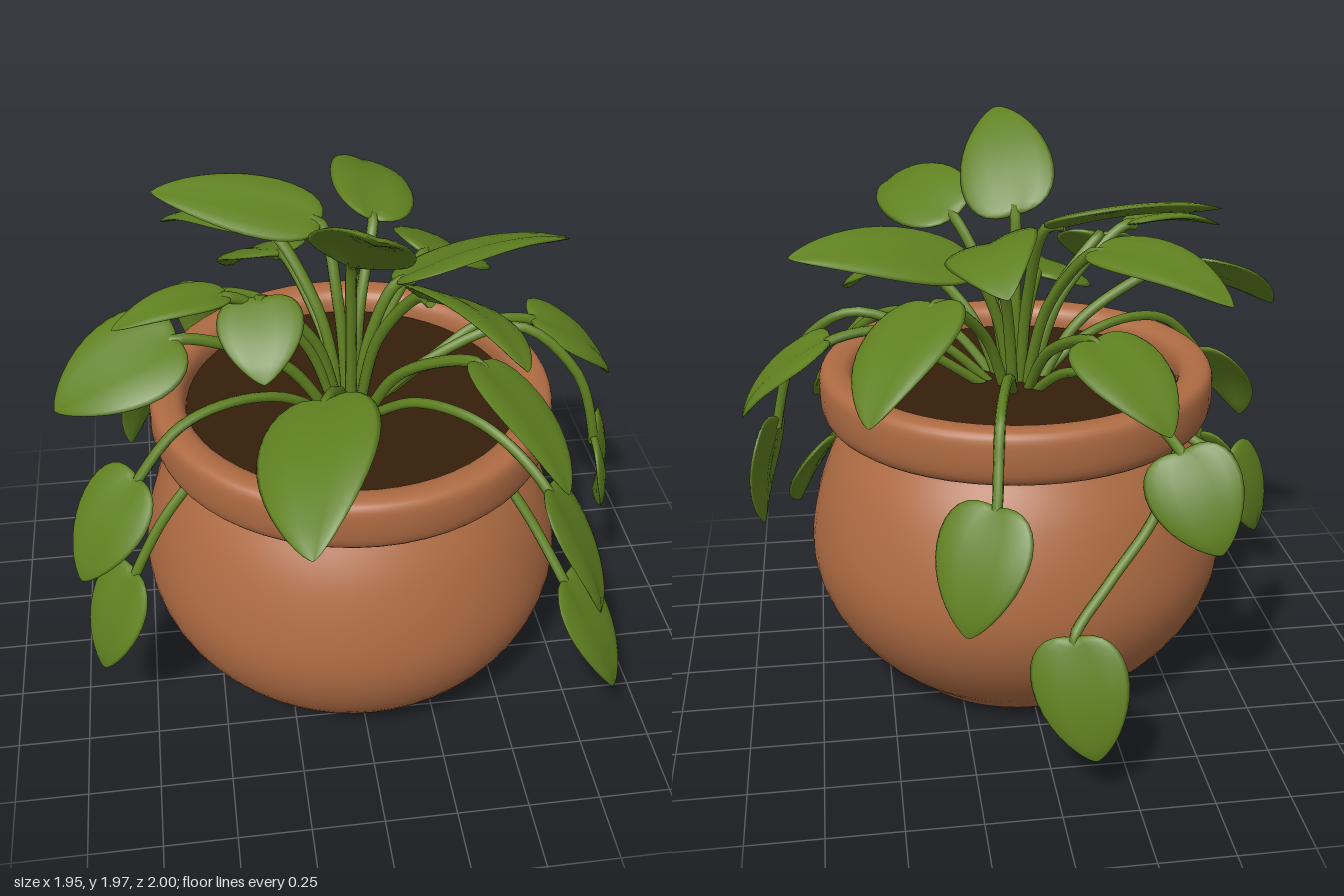
import * as THREE from 'three';

const V = (a) => new THREE.Vector3(...a);

// Closed heart-shaped leaf running from base to tip; up is the side its face looks to.
function leafGeometry(base, tip, width, up, arch) {
  const axis = V(tip).sub(V(base)), length = axis.length();
  axis.normalize();
  const side = V(up).cross(axis).normalize();
  const normal = axis.clone().cross(side).normalize();
  const rows = 18, ring = 16, pos = [], idx = [];
  for (let i = 0; i <= rows; i++) {
    const u = (1 - Math.cos((i / rows) * Math.PI)) / 2;
    const half = (width / 2) * Math.pow(Math.max(0, Math.sin(Math.PI * Math.pow(u, 0.68))), 0.7);
    for (let j = 0; j < ring; j++) {
      const a = (j / ring) * Math.PI * 2;
      const s = Math.cos(a) * half;
      const along = u * length - Math.abs(s) * 0.3 * Math.pow(1 - u, 2);
      const lift = Math.sin(a) * 0.014 * Math.min(1, half * 14)
        + arch * length * Math.sin(Math.PI * u)
        + Math.abs(s) * 0.2 - s * s * 1.2;
      const p = V(base).addScaledVector(axis, along).addScaledVector(side, s).addScaledVector(normal, lift);
      pos.push(p.x, p.y, p.z);
      if (i < rows) {
        const k = (j + 1) % ring, r = i * ring, q = r + ring;
        idx.push(r + j, q + j, r + k, r + k, q + j, q + k);
      }
    }
  }
  const g = new THREE.BufferGeometry();
  g.setAttribute('position', new THREE.Float32BufferAttribute(pos, 3));
  g.setIndex(idx);
  g.computeVertexNormals();
  return g;
}

export function createModel() {
  const model = new THREE.Group();
  const clay = new THREE.MeshStandardMaterial({ name: 'terracotta', color: 0xae6b43 });
  const earth = new THREE.MeshStandardMaterial({ name: 'dark soil', color: 0x341f0a });
  const green = new THREE.MeshStandardMaterial({ name: 'leaf green', color: 0x5f8020, side: THREE.DoubleSide });
  const cx = 0.01, cz = 0.05;

  const add = (name, geometry, material, parent = model) => {
    const mesh = new THREE.Mesh(geometry, material);
    mesh.name = name;
    parent.add(mesh);
    return mesh;
  };

  // Pot: round belly, narrow neck, thick collar
  const v2 = ([x, y]) => new THREE.Vector2(x, y);
  const belly = new THREE.SplineCurve([[0.455, 0.02], [0.59, 0.14], [0.7, 0.3], [0.748, 0.47],
    [0.73, 0.65], [0.67, 0.83], [0.59, 0.965]].map(v2)).getPoints(24);
  const collar = new THREE.SplineCurve([[0.59, 0.97], [0.66, 0.985], [0.69, 1.03], [0.695, 1.12],
    [0.68, 1.165], [0.635, 1.175], [0.59, 1.16], [0.57, 1.11], [0.575, 1.0]].map(v2)).getPoints(32);
  const profile = [v2([0, 0]), v2([0.43, 0]), v2([0.445, 0.004]), ...belly, ...collar];
  add('pot', new THREE.LatheGeometry(profile, 56), clay).position.set(cx, 0, cz);

  // Soil
  const soil = add('soil', new THREE.CylinderGeometry(0.578, 0.578, 0.03, 48), earth);
  soil.position.set(cx, 1.08, cz);

  // Upright leaves: base, tip, width, facing, arch
  const upright = [
    [[0, 1.67, 0.13], [0.02, 1.97, 0.53], 0.34, [0.4, 1, -0.55], 0.06],
    [[-0.07, 1.69, -0.13], [-0.62, 1.77, -0.27], 0.29, [0.15, 1, 0.35], 0.04],
    [[0.17, 1.52, 0.01], [0.78, 1.6, -0.07], 0.33, [0, 1, -0.35], 0.07],
    [[0.12, 1.65, -0.2], [0.13, 1.63, -0.7], 0.31, [0.35, 1, 0], 0.12],
    [[0.2, 1.63, 0.28], [0.42, 1.65, 0.77], 0.31, [0.5, 1, -0.3], 0.1],
    [[-0.22, 1.62, -0.2], [-0.6, 1.52, -0.53], 0.29, [0, 1, -0.2], 0.1],
    [[-0.4, 1.61, 0.17], [-0.77, 1.57, 0.26], 0.17, [0, 1, 0.1], 0.08],
    [[-0.3, 1.58, 0.15], [-0.31, 1.41, 0.39], 0.28, [-0.15, 1, 0.8], 0.06],
    [[-0.12, 1.36, 0.43], [-0.23, 1.2, 0.99], 0.41, [-0.55, 1, 0.5], 0.08],
    [[0.36, 1.46, 0.43], [0.57, 1.22, 0.82], 0.31, [0.8, 1, 0.3], 0.07],
    [[0.31, 1.48, -0.25], [0.55, 1.21, -0.62], 0.37, [0.5, 1, -0.3], 0.08],
    [[-0.57, 1.46, 0.16], [-0.98, 1.27, 0.24], 0.38, [-0.3, 1, 0.45], 0.08],
    [[-0.17, 1.4, -0.45], [-0.36, 1.19, -0.76], 0.32, [-0.2, 1, -0.5], 0.08],
  ];

  // Trailing leaves that hang over the collar; a sixth entry gives the stem its own path
  const trailing = [
    [[0.66, 1.3, -0.05], [0.97, 1.04, -0.06], 0.34, [0.7, 1, 0], 0.1],
    [[0.86, 0.94, 0.17], [0.93, 0.57, 0.07], 0.35, [1, 0.3, 0.35], 0.07,
      [[0.05, 1.03, 0.05], [0.28, 1.24, 0.06], [0.58, 1.36, 0.08], [0.78, 1.2, 0.15]]],
    [[0.56, 1.1, 0.64], [0.71, 0.75, 0.86], 0.35, [1, 0.4, 0.4], 0.06],
    [[0.66, 0.67, 0.61], [0.83, 0.31, 0.78], 0.34, [0.9, 0.4, 0.5], 0.06,
      [[0.46, 1.0, 0.4], [0.56, 0.85, 0.49]]],
    [[-0.73, 1.06, 0.36], [-0.95, 0.73, 0.46], 0.33, [-0.9, 0.5, 0.6], 0.07],
    [[-0.77, 0.69, 0.4], [-0.92, 0.32, 0.46], 0.31, [-0.9, 0.4, 0.5], 0.07,
      [[-0.55, 1.0, 0.3], [-0.67, 0.86, 0.35]]],
    [[-0.64, 0.97, -0.44], [-0.78, 0.66, -0.37], 0.27, [-0.8, 0.3, -0.7], 0.06,
      [[-0.48, 1.02, -0.26], [-0.57, 0.98, -0.36]]],
    [[-0.41, 1.11, -0.69], [-0.52, 0.81, -0.83], 0.31, [0.3, 0.25, -0.9], 0.07],
    [[0.17, 0.97, -0.72], [0.28, 0.59, -0.85], 0.34, [0.65, 0.25, -0.8], 0.07],
    [[-0.05, 0.58, -0.87], [-0.11, 0.18, -0.97], 0.32, [0.4, 0.15, -0.9], 0.06,
      [[-0.41, 1.11, -0.66], [-0.33, 0.9, -0.71], [-0.18, 0.72, -0.78]]],
  ];

  const plant = (name, [base, tip, width, up, arch], path, radius) => {
    const group = new THREE.Group();
    group.name = name;
    add('leaf', leafGeometry(base, tip, width, up, arch), green, group);
    // The stem runs a little way under the blade
    const end = V(base).lerp(V(tip), 0.1);
    const curve = new THREE.CatmullRomCurve3([...path, V(base), end]);
    add('stem', new THREE.TubeGeometry(curve, 24, radius, 7), green, group);
    model.add(group);
  };

  upright.forEach((leaf, i) => {
    const b = leaf[0], dx = b[0] - cx, dz = b[2] - cz;
    const root = V([cx + dx * 0.1, 1.02, cz + dz * 0.1]);
    const bend = V([cx + dx * 0.42, 1.02 + (b[1] - 1.02) * 0.62, cz + dz * 0.42]);
    plant('uprightLeaf' + (i + 1), leaf, [root, bend], 0.02);
  });

  trailing.forEach((leaf, i) => {
    const b = leaf[0], angle = Math.atan2(b[2] - cz, b[0] - cx);
    const at = (r, y) => V([cx + Math.cos(angle) * r, y, cz + Math.sin(angle) * r]);
    let path = [at(0.05, 1.03), at(0.28, 1.2)];
    if (leaf[5]) path = leaf[5].map(V);
    else if (b[1] > 1.2) path.push(at(0.48, 1.32));
    else path.push(at(0.5, 1.24), at(0.66, 1.2));
    if (!leaf[5] && b[1] < 1) path.push(at(0.73, 1.08));
    plant('trailingLeaf' + (i + 1), leaf, path, 0.018);
  });

  return model;
}
